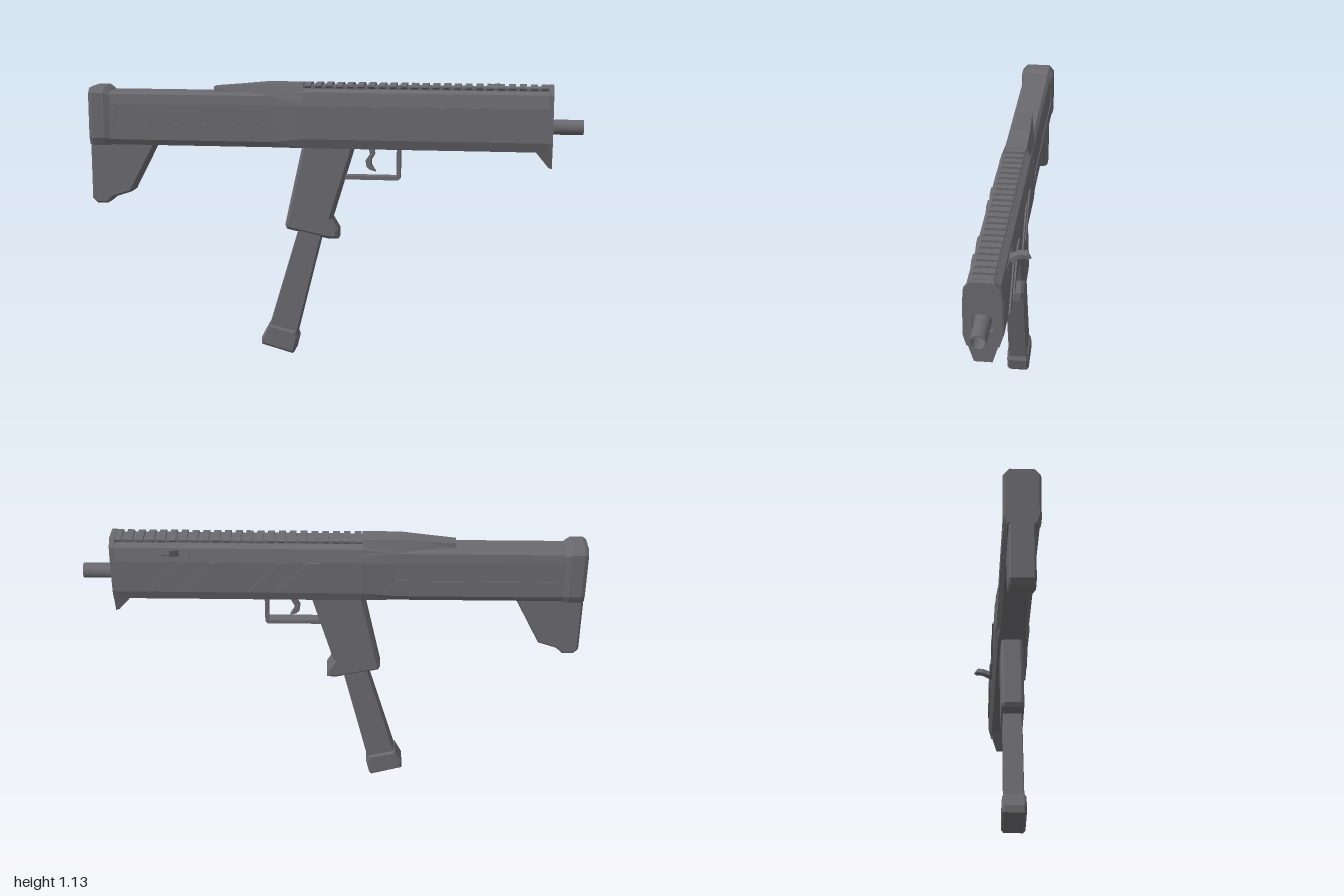
import * as THREE from 'three';

const AXIS_Z = 0.034; // the body sits off centre because of the side handle

// Loft along x. Each section: [x, [[halfWidth, y], ...from top to bottom]]
function loft(sections) {
  const rings = sections.map(([x, half]) => [
    ...half.map(([w, y]) => [x, y, w]),
    ...half.map(([w, y]) => [x, y, -w]).reverse(),
  ]);
  const out = [];
  const tri = (a, b, c) => out.push(...a, ...b, ...c);
  const n = rings[0].length;
  for (let s = 0; s + 1 < rings.length; s++) {
    const a = rings[s], b = rings[s + 1];
    for (let i = 0; i < n; i++) {
      const j = (i + 1) % n;
      tri(a[i], a[j], b[j]);
      tri(a[i], b[j], b[i]);
    }
  }
  const first = rings[0], last = rings[rings.length - 1];
  for (let i = 1; i + 1 < n; i++) {
    tri(last[0], last[i], last[i + 1]);
    tri(first[0], first[i + 1], first[i]);
  }
  const g = new THREE.BufferGeometry();
  g.setAttribute('position', new THREE.Float32BufferAttribute(out, 3));
  g.computeVertexNormals();
  return g;
}

const shapeOf = (pts) => new THREE.Shape(pts.map(([x, y]) => new THREE.Vector2(x, y)));

// Side outline in x/y, centred in z, with chamfered rims
function slab(pts, half, bevel = 0) {
  const g = new THREE.ExtrudeGeometry(shapeOf(pts), {
    depth: 2 * (half - bevel), bevelEnabled: bevel > 0, bevelSize: bevel,
    bevelThickness: bevel, bevelOffset: -bevel, bevelSegments: 1, curveSegments: 8,
  });
  return g.translate(0, 0, -(half - bevel));
}

// Outline in z/y pushed along x from x0 to x1
function alongX(shape, x0, x1) {
  return new THREE.ExtrudeGeometry(shape, { depth: x1 - x0, bevelEnabled: false, curveSegments: 16 })
    .rotateY(Math.PI / 2).translate(x0, 0, 0);
}

export function createModel() {
  const model = new THREE.Group();
  const body = new THREE.Group();
  body.name = 'body';
  body.position.z = AXIS_Z;
  model.add(body);
  const grey = new THREE.MeshStandardMaterial({ color: 0x6a696e });
  grey.name = 'gunmetal grey';

  const add = (name, geometry, x = 0, y = 0, z = 0) => {
    const m = new THREE.Mesh(geometry, grey);
    m.name = name;
    m.position.set(x, y, z);
    body.add(m);
    return m;
  };
  const box = (name, w, h, d, x, y, z) => add(name, new THREE.BoxGeometry(w, h, d), x, y, z);

  // Receiver and stock shell
  const receiver = [[0.042, 1.11], [0.06, 1.098], [0.072, 1.045], [0.072, 0.91], [0.058, 0.872]];
  const stock = [[0.046, 1.092], [0.058, 1.08], [0.063, 1.04], [0.063, 0.895], [0.05, 0.872]];
  add('receiver', loft([[-0.115, receiver], [0.862, receiver]]));
  add('stock', loft([[-0.93, stock], [-0.24, stock], [-0.115, receiver]]));

  // Shoulder pad with chamfered ends
  const pad = [[0.05, 1.11], [0.07, 1.085], [0.07, 0.9], [0.055, 0.868]];
  const padEnd = [[0.045, 1.102], [0.062, 1.08], [0.062, 0.905], [0.05, 0.872]];
  const padRim = [[0.045, 1.094], [0.063, 1.07], [0.063, 0.9], [0.05, 0.87]];
  add('shoulderPad', loft([[-1, padEnd], [-0.985, pad], [-0.935, pad], [-0.912, padRim]]));
  add('stockFin', slab([[-1, 0.89], [-1, 0.645], [-0.98, 0.625], [-0.936, 0.625],
    [-0.91, 0.65], [-0.834, 0.675], [-0.722, 0.89]], 0.049, 0.008));

  // Ramp on top of the stock
  add('topRamp', loft([
    [-0.483, [[0.024, 1.113], [0.027, 1.088]]],
    [-0.37, [[0.032, 1.122], [0.045, 1.085]]],
    [-0.27, [[0.038, 1.131], [0.056, 1.08]]],
    [-0.115, [[0.042, 1.131], [0.069, 1.07]]],
  ]));

  // Top rail with teeth
  box('railBase', 0.98, 0.022, 0.07, 0.375, 1.112, 0);
  const teeth = 23, pitch = 0.985 / teeth;
  const tooth = [[0.036, 1.132], [0.043, 1.126], [0.043, 1.12], [0.034, 1.112]];
  for (let i = 0; i < teeth; i++) {
    const x = -0.11 + i * pitch;
    add('railTooth', loft([[x, tooth], [x + pitch * 0.62, tooth]]));
  }

  // Front plate with a rounded square opening, and the lip below it
  const plate = shapeOf([[-0.042, 1.131], [-0.066, 1.1], [-0.07, 1.04], [-0.07, 0.91], [-0.058, 0.868],
    [0.058, 0.868], [0.07, 0.91], [0.07, 1.04], [0.066, 1.1], [0.042, 1.131]]);
  const hole = new THREE.Path();
  const corners = [[0.027, 0.993, 0], [-0.027, 0.993, 1], [-0.027, 0.941, 2], [0.027, 0.941, 3]];
  for (const [z, y, q] of corners) hole.absarc(z, y, 0.01, q * Math.PI / 2, (q + 1) * Math.PI / 2, false);
  hole.closePath();
  plate.holes.push(hole);
  add('frontPlate', alongX(plate, 0.86, 0.88));
  add('frontLip', loft([
    [0.815, [[0.058, 0.885], [0.056, 0.872]]],
    [0.866, [[0.058, 0.885], [0.034, 0.808]]],
    [0.88, [[0.058, 0.885], [0.033, 0.803]]],
  ]));

  // Hollow barrel
  const ring = new THREE.Shape();
  ring.absarc(0, 0, 0.03, 0, Math.PI * 2, false);
  const bore = new THREE.Path();
  bore.absarc(0, 0, 0.025, 0, Math.PI * 2, true);
  ring.holes.push(bore);
  add('barrel', alongX(ring, 0.84, 1), 0, 0.967, 0);

  // Slanted raised slats and stock panels on both sides
  for (const side of [1, -1]) {
    for (const x of [0.053, 0.16, 0.432, 0.56]) {
      add('sideSlat', slab([[x, 1.044], [x + 0.13, 0.914], [x + 0.18, 0.914], [x + 0.05, 1.044]],
        0.004), 0, 0, side * 0.074);
    }
    add('stockPanel', slab([[-0.9, 0.9], [-0.17, 0.9], [-0.2, 0.92], [-0.25, 0.965],
      [-0.885, 0.965], [-0.885, 1.02], [-0.9, 1.02]], 0.003), 0, 0, side * 0.063);
  }

  // Port cover on one side, handle slot and hooked handle on the other
  box('portCover', 0.12, 0.056, 0.006, -0.03, 1.013, 0.072);
  box('handleSlot', 0.13, 0.022, 0.006, 0.63, 1.075, -0.065).rotation.x = 0.22;
  const hook = add('sideHandle', slab([[0.605, 0], [0.612, 0.05], [0.632, 0.08], [0.664, 0.092],
    [0.67, 0.078], [0.652, 0.062], [0.642, 0.04], [0.645, 0]], 0.011, 0.002), 0, 1.075, -0.06);
  hook.rotation.x = -1.1;

  // Grip, magazine and foot
  add('grip', slab([[-0.118, 0.89], [-0.193, 0.55], [-0.185, 0.533], [-0.015, 0.497], [0.027, 0.497],
    [0.027, 0.535], [0, 0.58], [0.094, 0.89]], 0.046, 0.012));
  add('magazine', slab([[-0.13, 0.56], [-0.264, 0.11], [-0.15, 0.08], [-0.036, 0.54]], 0.039, 0.003));
  add('magazineFoot', slab([[-0.264, 0.128], [-0.294, 0.07], [-0.294, 0.04], [-0.165, 0.004],
    [-0.155, 0.015], [-0.142, 0.068], [-0.152, 0.1]], 0.047, 0.009));

  // Trigger and guard
  add('triggerGuard', slab([[0.05, 0.742], [0.268, 0.742], [0.277, 0.751], [0.277, 0.88],
    [0.262, 0.88], [0.262, 0.757], [0.05, 0.757]], 0.024));
  add('trigger', slab([[0.145, 0.88], [0.152, 0.845], [0.134, 0.82], [0.138, 0.795], [0.15, 0.782],
    [0.176, 0.775], [0.16, 0.8], [0.158, 0.82], [0.172, 0.845], [0.17, 0.88]], 0.012, 0.002));

  return model;
}
